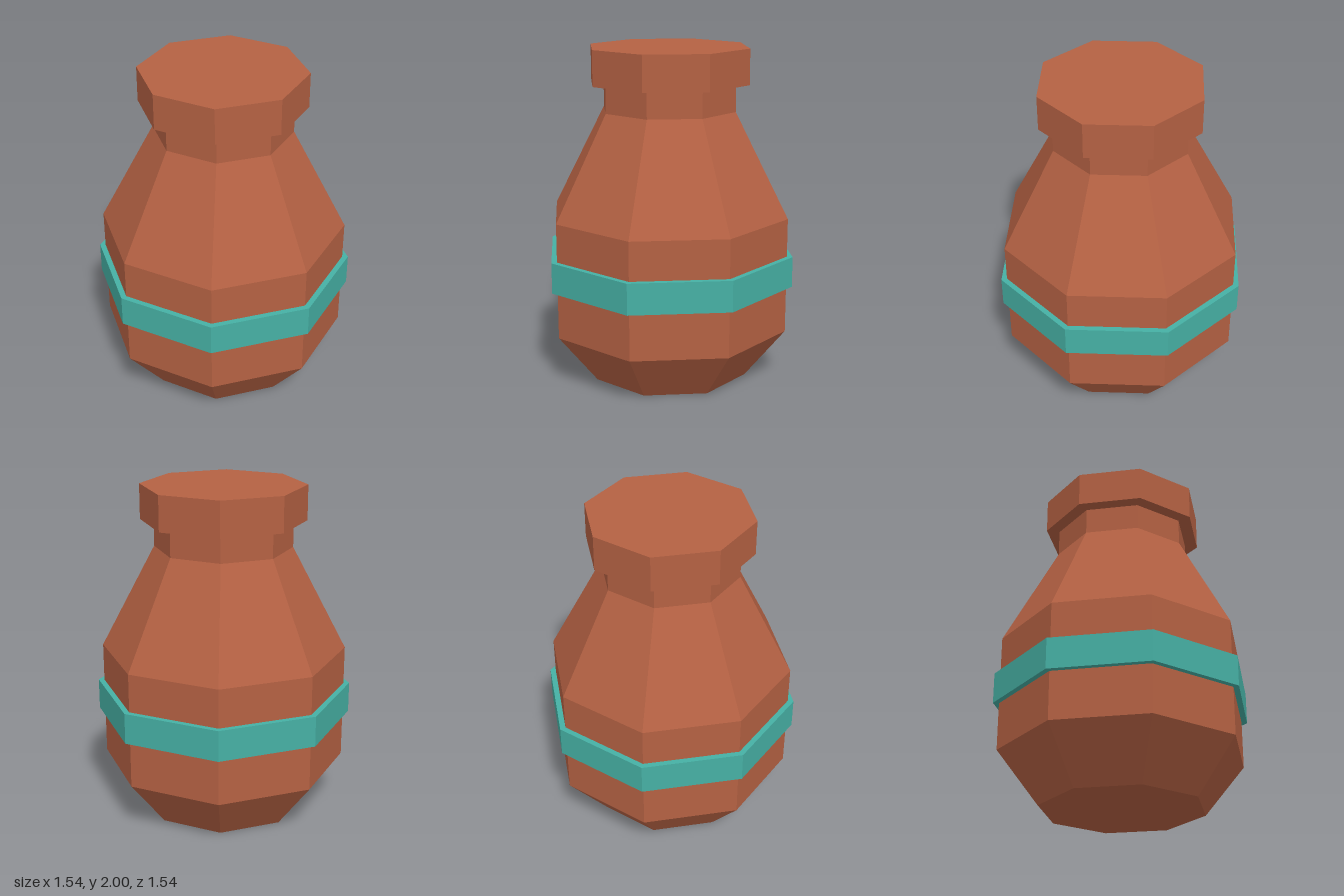
import * as THREE from 'three';

const SIDES = 8;

// Faceted solid of revolution from [radius, height] pairs, bottom to top
function turned(name, profile, material) {
  const points = profile.map(([r, y]) => new THREE.Vector2(r, y));
  const mesh = new THREE.Mesh(new THREE.LatheGeometry(points, SIDES), material);
  mesh.name = name;
  return mesh;
}

export function createModel() {
  const terracotta = new THREE.MeshStandardMaterial({ name: 'terracotta', color: 0xb46143, flatShading: true });
  const teal = new THREE.MeshStandardMaterial({ name: 'tealGlaze', color: 0x46b0a4, flatShading: true });

  const model = new THREE.Group();
  model.name = 'clayJar';

  // Jar body with tapered foot, straight belly, sloping shoulder and neck
  model.add(turned('body', [
    [0, 0], [0.49, 0], [0.735, 0.31], [0.735, 1.01], [0.41, 1.63], [0.41, 1.79],
  ], terracotta));

  // Closed lid overhanging the neck
  model.add(turned('lid', [[0, 1.79], [0.49, 1.79], [0.49, 2], [0, 2]], terracotta));

  // Raised band around the belly
  model.add(turned('band', [[0.735, 0.595], [0.77, 0.595], [0.77, 0.78], [0.735, 0.78]], teal));

  return model;
}
